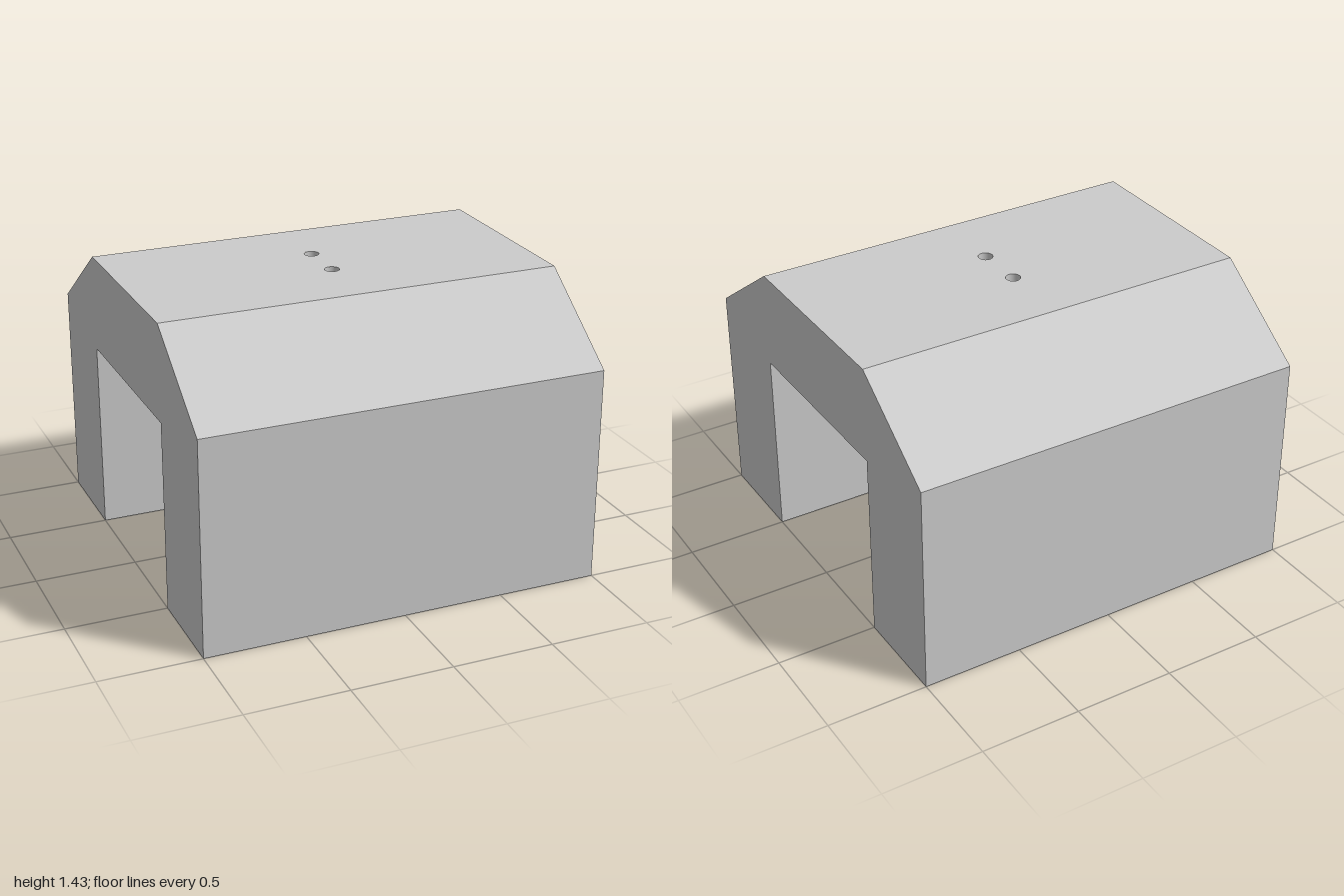
import * as THREE from 'three';

const RIDGE = 1.43, EAVE = 1.075, SOFFIT = 0.95;
const HOLE_R = 0.036, HOLE_Z = [-0.126, 0.126], SEGMENTS = 32;

// Arch profile swept along x, leaving the roof and soffit open for drilled panels
function archGeometry() {
  const profile = new THREE.Shape([
    [-1, 0], [-0.5, 0], [-0.5, SOFFIT], [0.5, SOFFIT], [0.5, 0],
    [1, 0], [1, EAVE], [0.5, RIDGE], [-0.5, RIDGE], [-1, EAVE],
  ].map(([z, y]) => new THREE.Vector2(z, y)));
  const swept = new THREE.ExtrudeGeometry(profile, { depth: 2, bevelEnabled: false });
  swept.translate(0, 0, -1).rotateY(-Math.PI / 2);
  const pos = swept.attributes.position, normal = swept.attributes.normal;
  const kept = [];
  for (let i = 0; i < pos.count; i += 3) {
    const drilled = Math.abs(normal.getY(i)) > 0.99 && pos.getY(i) > 0.9;
    if (!drilled) kept.push(i, i + 1, i + 2);
  }
  swept.clearGroups();
  swept.setIndex(kept);
  return swept.toNonIndexed();
}

// Flat panel with the two holes, facing up (1) or down (-1)
function panelGeometry(y, facing) {
  const shape = new THREE.Shape([[-1, -0.5], [1, -0.5], [1, 0.5], [-1, 0.5]]
    .map(([x, z]) => new THREE.Vector2(x, z)));
  for (const z of HOLE_Z) {
    shape.holes.push(new THREE.Path().absarc(0, z, HOLE_R, 0, Math.PI * 2, true));
  }
  return new THREE.ShapeGeometry(shape, SEGMENTS)
    .rotateX(-facing * Math.PI / 2).translate(0, y, 0);
}

export function createModel() {
  const group = new THREE.Group();
  group.name = 'drilledArchBlock';
  const material = new THREE.MeshStandardMaterial({ color: 0xcccccc });
  const add = (name, geometry) => {
    const mesh = new THREE.Mesh(geometry, material);
    mesh.name = name;
    group.add(mesh);
    return mesh;
  };

  add('archBody', archGeometry());
  add('roofPanel', panelGeometry(RIDGE, 1));
  add('soffitPanel', panelGeometry(SOFFIT, -1));

  // Bore walls: the profile runs downward so the faces point inward
  const bore = new THREE.LatheGeometry(
    [new THREE.Vector2(HOLE_R, RIDGE), new THREE.Vector2(HOLE_R, SOFFIT)], SEGMENTS);
  HOLE_Z.forEach((z, i) => {
    add(i ? 'frontHole' : 'backHole', bore).position.z = z;
  });
  return group;
}
